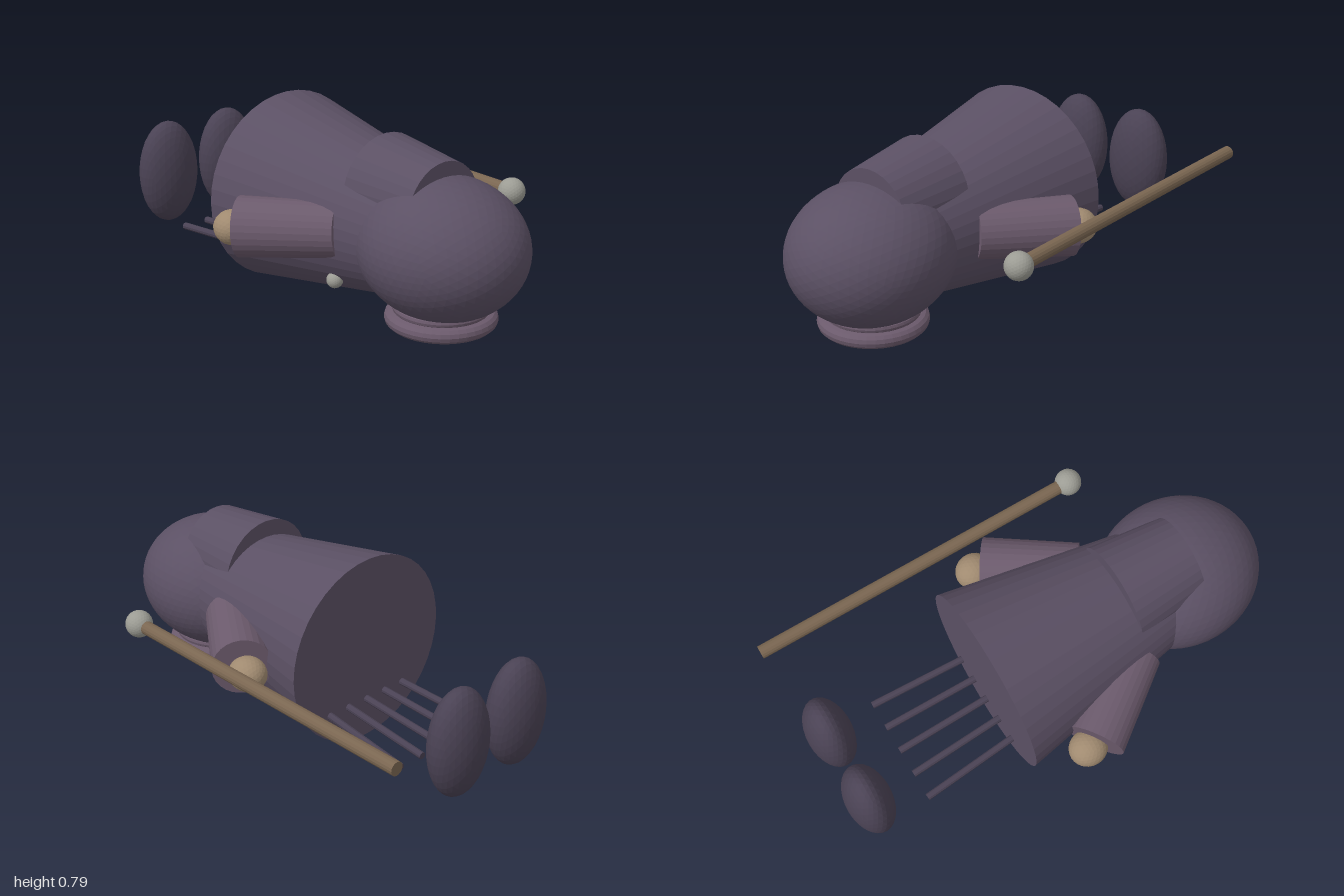
import * as THREE from 'three';

const CX = -0.045; // the body's own centre line
const mat = (color) => new THREE.MeshStandardMaterial({ color, flatShading: true });
const CLOTH = mat(0x5b5064), SLEEVE = mat(0x6b5a6c), DARK = mat(0x4a4254);
const SKIN = mat(0xa08a70), HAIR = mat(0x6b5c48), WOOD = mat(0x7a6651), SILVER = mat(0x9c9c94);

export function createModel() {
  const group = new THREE.Group();

  const add = (name, geometry, material) => {
    const mesh = new THREE.Mesh(geometry, material);
    mesh.name = name;
    group.add(mesh);
    return mesh;
  };

  // Ellipsoid from a subdivided icosahedron
  const blob = (name, pos, radii, material, detail = 6) => {
    const mesh = add(name, new THREE.IcosahedronGeometry(1, detail), material);
    mesh.position.set(...pos);
    mesh.scale.set(...radii);
    return mesh;
  };

  // Closed tapered cylinder from point a (radius ra) to point b (radius rb)
  const taper = (name, a, b, ra, rb, material, sides = 32) => {
    const from = new THREE.Vector3(...a), to = new THREE.Vector3(...b);
    const dir = to.clone().sub(from);
    const mesh = add(name, new THREE.CylinderGeometry(rb, ra, dir.length(), sides), material);
    mesh.position.copy(from).add(to).multiplyScalar(0.5);
    mesh.quaternion.setFromUnitVectors(new THREE.Vector3(0, 1, 0), dir.normalize());
    return mesh;
  };

  // Horizontal ring around the face
  const ring = (name, y, radius, tube, material) => {
    const mesh = add(name, new THREE.TorusGeometry(radius, tube, 12, 40), material);
    mesh.rotation.x = Math.PI / 2;
    mesh.position.set(CX, y, 0.65);
    return mesh;
  };

  // Robe, hood and the folded cloth behind the hood
  taper('robe', [CX, 0.4, -0.27], [CX, 0.4, 0.5], 0.395, 0.255, CLOTH, 40);
  blob('hood', [CX, 0.385, 0.65], [0.315, 0.275, 0.347], CLOTH, 9);
  taper('hoodDrape', [CX, 0.54, 0.33], [CX, 0.54, 0.65], 0.217, 0.18, CLOTH);

  // Hood rim, facing down
  ring('hoodRim', 0.106, 0.187, 0.031, SLEEVE);
  ring('hoodRimInner', 0.148, 0.168, 0.02, SLEEVE);

  // Face
  blob('face', [CX, 0.095, 0.65], [0.15, 0.042, 0.15], SKIN);
  blob('nose', [CX, 0.045, 0.62], [0.027, 0.025, 0.052], SKIN, 4);
  blob('beard', [CX, 0.058, 0.5], [0.1, 0.018, 0.08], HAIR, 5);

  for (const side of [1, -1]) {
    const x = (d) => CX + side * d;
    const label = side > 0 ? 'left' : 'right';
    blob(label + 'Eye', [x(0.052), 0.058, 0.69], [0.016, 0.012, 0.016], DARK, 3);
    taper(label + 'Sleeve', [x(0.439), 0.385, -0.022], [x(0.215), 0.408, 0.305], 0.121, 0.108, SLEEVE, 28);
    blob(label + 'Hand', [x(0.445), 0.372, -0.06], [0.075, 0.07, 0.08], SKIN, 4);
    blob(label + 'Shoe', [x(0.16), 0.328, -0.905], [0.14, 0.228, 0.094], DARK, 5);
  }

  // Strands trailing out from under the robe
  for (let i = -2; i <= 2; i++) {
    taper('strand', [CX + i * 0.099, 0.177, -0.22], [CX + i * 0.115, 0.147, -0.69], 0.015, 0.015, DARK, 10);
  }

  // Clasp on the robe
  blob('clasp', [-0.268, 0.2, 0.29], [0.033, 0.033, 0.033], SILVER, 4);

  // Staff with a round knob
  taper('staff', [0.52, 0.43, -0.985], [0.52, 0.43, 0.47], 0.028, 0.028, WOOD, 16);
  blob('staffKnob', [0.52, 0.43, 0.47], [0.056, 0.056, 0.056], SILVER, 4);

  return group;
}
